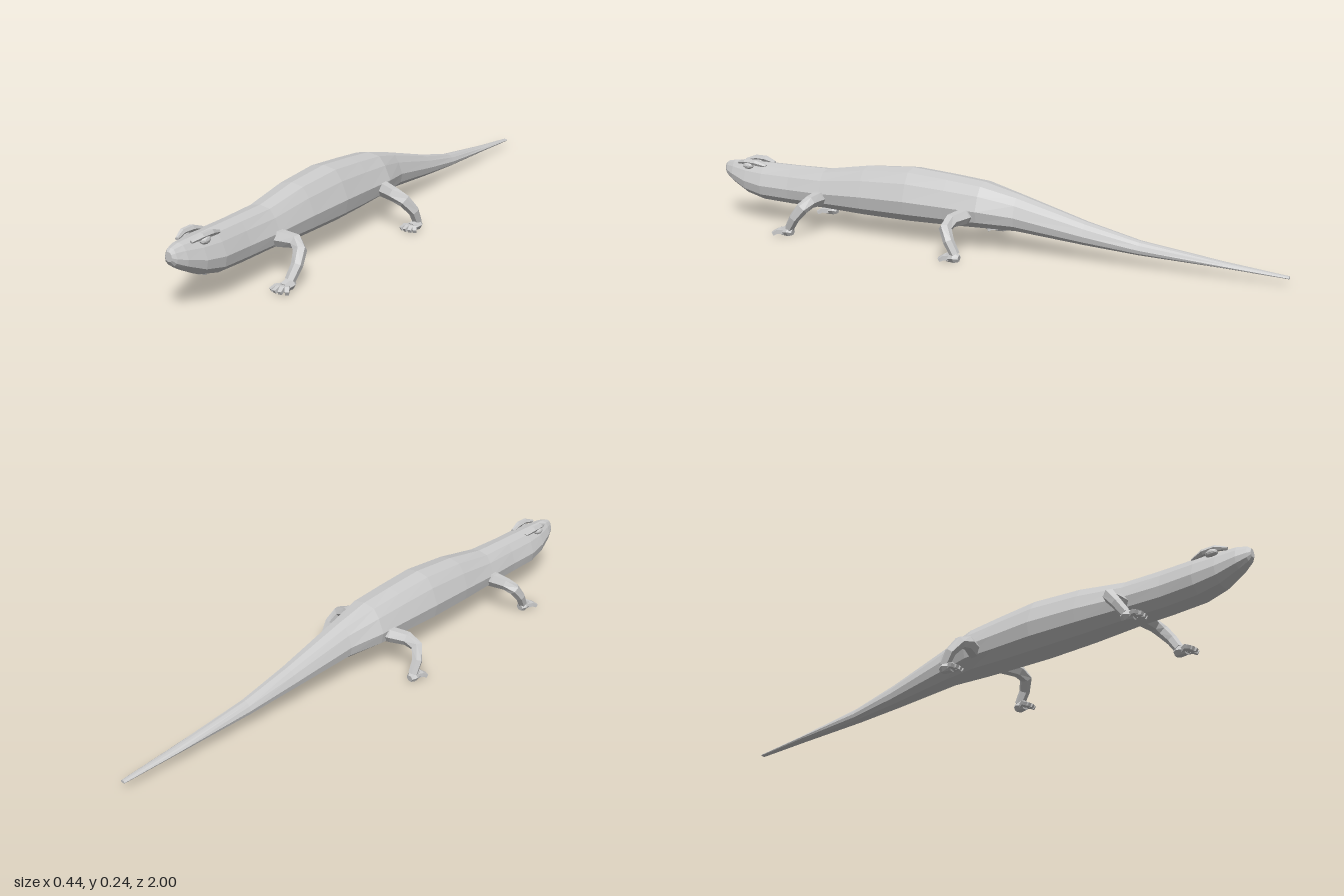
import * as THREE from 'three';

const V = (x, y, z) => new THREE.Vector3(x, y, z);

// Skin a list of equal-sized rings of points, closed at both ends
function loft(rings) {
  const n = rings[0].length, pos = [], index = [];
  rings.forEach(r => r.forEach(p => pos.push(p.x, p.y, p.z)));
  for (let i = 0; i < rings.length - 1; i++) {
    for (let j = 0; j < n; j++) {
      const a = i * n + j, b = i * n + (j + 1) % n;
      index.push(a, b, a + n, b, b + n, a + n);
    }
  }
  const last = (rings.length - 1) * n;
  for (let j = 1; j < n - 1; j++) {
    index.push(0, j + 1, j, last, last + j, last + j + 1);
  }
  const g = new THREE.BufferGeometry();
  g.setAttribute('position', new THREE.Float32BufferAttribute(pos, 3));
  g.setIndex(index);
  g.computeVertexNormals();
  return g;
}

// Tapered limb along a path of [x, y, z, radius]
function limb(path, sides) {
  const pts = path.map(p => V(p[0], p[1], p[2]));
  const u = V(0, 1, 0);
  return loft(pts.map((p, i) => {
    const t = pts[Math.min(i + 1, pts.length - 1)].clone().sub(pts[Math.max(i - 1, 0)]).normalize();
    u.addScaledVector(t, -u.dot(t)).normalize();
    const v = t.clone().cross(u);
    return Array.from({ length: sides }, (_, k) => {
      const a = (k + 0.5) / sides * Math.PI * 2, r = path[i][3];
      const q = p.clone().addScaledVector(u, r * Math.cos(a)).addScaledVector(v, r * Math.sin(a));
      q.y = Math.max(q.y, 0);
      return q;
    });
  }));
}

export function createModel() {
  const model = new THREE.Group();
  const skin = new THREE.MeshStandardMaterial({ color: 0xcccccc, flatShading: true });
  const add = (parent, name, geometry) => {
    const m = new THREE.Mesh(geometry, skin);
    m.name = name;
    parent.add(m);
    return m;
  };

  // Body from tail tip to nose: z, half width, top, bottom
  const stations = [
    [-1, 0.009, 0.028, 0.02], [-0.8, 0.018, 0.048, 0.03], [-0.53, 0.027, 0.083, 0.038],
    [-0.35, 0.038, 0.125, 0.05], [-0.12, 0.058, 0.19, 0.07], [0, 0.085, 0.22, 0.07],
    [0.12, 0.087, 0.232, 0.066], [0.26, 0.09, 0.243, 0.064], [0.43, 0.082, 0.232, 0.066],
    [0.59, 0.07, 0.206, 0.072], [0.72, 0.063, 0.205, 0.072], [0.83, 0.063, 0.205, 0.077],
    [0.9, 0.053, 0.204, 0.094], [0.96, 0.036, 0.203, 0.125], [0.99, 0.022, 0.197, 0.145],
    [1, 0.012, 0.188, 0.16],
  ];
  // Right half of the section, top to bottom: width and height fractions
  const half = [[0.5, 0.95], [0.76, 0.76], [1, 0.45], [0.9, 0.2], [0.48, 0.03]];
  const section = [[0, 0], ...half.slice().reverse(), [0, 1], ...half.map(([x, y]) => [-x, y])];
  add(model, 'body', loft(stations.map(([z, w, top, bottom]) =>
    section.map(([x, y]) => V(x * w, bottom + y * (top - bottom), z)))));

  for (const s of [1, -1]) {
    const side = s > 0 ? 'left' : 'right';

    // Eye with a brow ridge above it
    const eye = add(model, side + 'Eye', new THREE.IcosahedronGeometry(0.014, 1));
    eye.position.set(s * 0.036, 0.196, 0.888);
    eye.scale.set(0.9, 0.9, 1.5);
    add(model, side + 'Brow', limb([
      [s * 0.029, 0.198, 0.82, 0.006], [s * 0.034, 0.208, 0.86, 0.011],
      [s * 0.034, 0.209, 0.9, 0.01], [s * 0.025, 0.201, 0.935, 0.005],
    ], 6));

    // Legs: limb path, then foot centre line and toe spread
    const legs = [
      ['FrontLeg', [[0.04, 0.115, 0.59, 0.028], [0.08, 0.117, 0.59, 0.026], [0.125, 0.117, 0.59, 0.022],
        [0.15, 0.1, 0.605, 0.021], [0.158, 0.065, 0.632, 0.018], [0.151, 0.025, 0.658, 0.016]],
      [0.148, 0.683], [-0.028, -0.012, 0.008, 0.028], 0.036],
      ['HindLeg', [[0.04, 0.118, 0.035, 0.03], [0.085, 0.119, 0.04, 0.026], [0.135, 0.115, 0.06, 0.023],
        [0.175, 0.1, 0.062, 0.021], [0.196, 0.065, 0.04, 0.018], [0.197, 0.025, 0.018, 0.016]],
      [0.192, 0.042], [-0.028, -0.011, 0.008, 0.024], 0.033],
    ];
    for (const [name, path, [fx, fz], toes, reach] of legs) {
      const leg = new THREE.Group();
      leg.name = side + name;
      model.add(leg);
      add(leg, 'limb', limb(path.map(([x, y, z, r]) => [s * x, y, z, r]), 6));
      const [ax, , az] = path[path.length - 1];
      add(leg, 'palm', limb([
        [s * ax, 0.013, az - 0.014, 0.012], [s * ax, 0.015, az, 0.02], [s * fx, 0.01, fz + 0.004, 0.016],
      ], 6));
      toes.forEach((dx, i) => {
        const end = fz + reach - Math.abs(dx) * 0.35;
        add(leg, 'toe' + (i + 1), limb([
          [s * (fx + dx * 0.25), 0.012, fz - 0.006, 0.011],
          [s * (fx + dx * 0.7), 0.014, fz + (end - fz) * 0.5, 0.01],
          [s * (fx + dx), 0.006, end, 0.008],
        ], 4));
      });
    }
  }
  return model;
}
